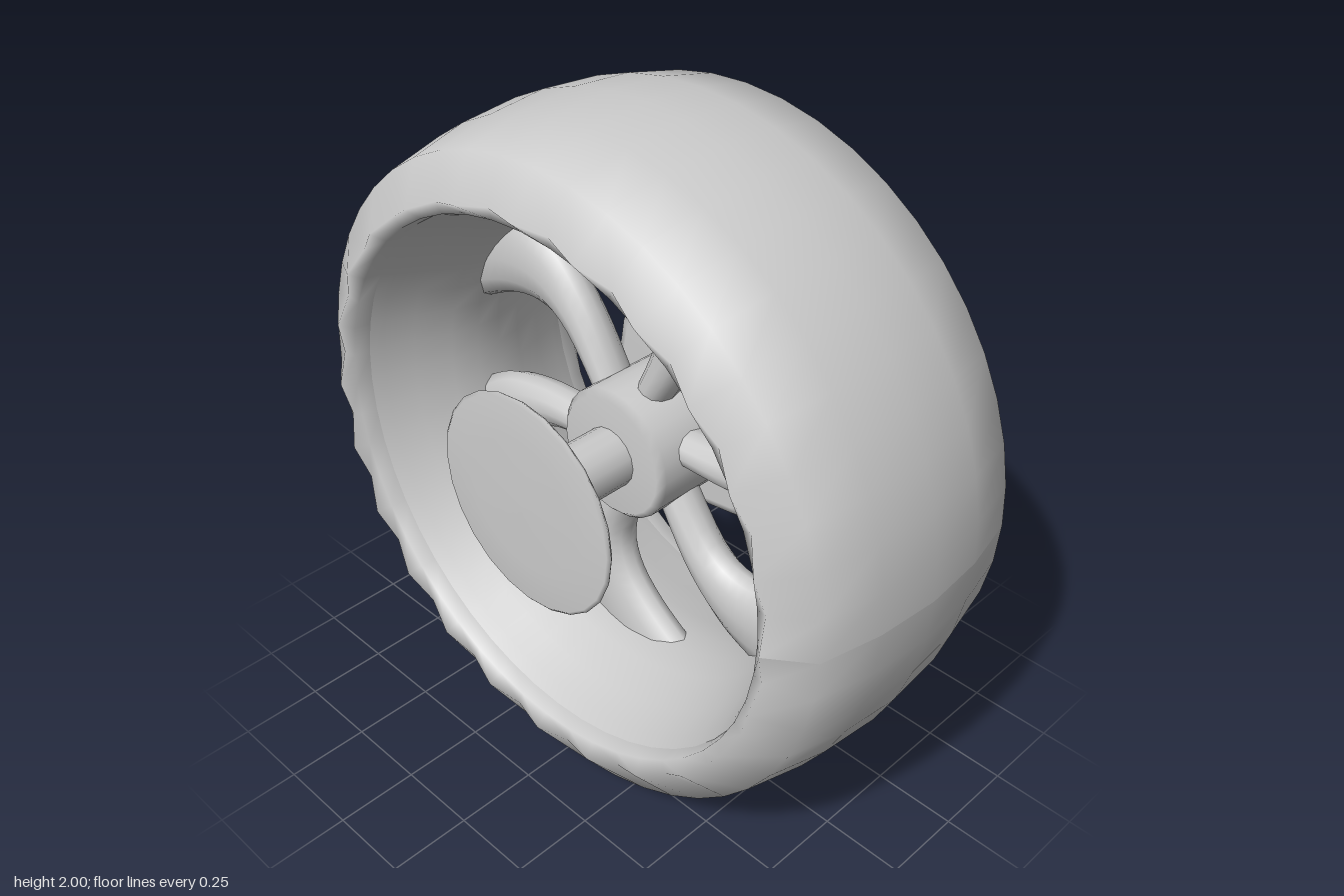
import * as THREE from 'three';

const material = new THREE.MeshStandardMaterial({ color: 0xcccccc });

// Lathe around the x axis; profile points are [x, radius]
function turned(name, profile, segments, adjust) {
  const geometry = new THREE.LatheGeometry(profile.map(([x, r]) => new THREE.Vector2(r, x)), segments);
  if (adjust) adjust(geometry.attributes.position, profile.length, segments);
  geometry.rotateZ(-Math.PI / 2);
  if (adjust) geometry.computeVertexNormals();
  const mesh = new THREE.Mesh(geometry, material);
  mesh.name = name;
  return mesh;
}

// Pull in every second shoulder point to scallop the sidewalls
function scallop(position, rows, segments) {
  for (let i = 1; i <= segments; i += 2) {
    for (const j of [2, rows - 3]) {
      const k = i * rows + j;
      position.setY(k, position.getY(k) * 0.945);
    }
  }
}

// Curved blade lofted between a convex and a concave edge, with an oval section
function spokeGeometry() {
  const curve = (pts) => new THREE.SplineCurve(pts.map(([u, v]) => new THREE.Vector2(u, v)));
  const convex = curve([[-0.08, 0.14], [-0.19, 0.33], [-0.25, 0.5], [-0.255, 0.63], [-0.24, 0.72]]);
  const concave = curve([[0.02, 0.16], [-0.06, 0.36], [-0.04, 0.49], [0.06, 0.6], [0.23, 0.71]]);
  const stations = 16, sides = 12;
  const positions = [], indices = [];
  for (let i = 0; i <= stations; i++) {
    const t = i / stations;
    const a = convex.getPoint(t), b = concave.getPoint(t);
    const mid = a.clone().add(b).multiplyScalar(0.5);
    const half = b.clone().sub(a).multiplyScalar(0.5);
    for (let j = 0; j < sides; j++) {
      const angle = (j / sides) * Math.PI * 2;
      const c = Math.cos(angle);
      positions.push(0.065 * Math.sin(angle), mid.y + half.y * c, -(mid.x + half.x * c));
      if (i < stations) {
        const p = i * sides + j, q = i * sides + (j + 1) % sides;
        indices.push(p, p + sides, q, q, p + sides, q + sides);
      }
    }
  }
  const geometry = new THREE.BufferGeometry();
  geometry.setAttribute('position', new THREE.Float32BufferAttribute(positions, 3));
  geometry.setIndex(indices);
  geometry.computeVertexNormals();
  return geometry;
}

export function createModel() {
  const wheel = new THREE.Group();
  wheel.name = 'wheel';

  // Tyre with rounded tread and scalloped shoulders
  const half = [[0.36, 0.79], [0.42, 0.795], [0.455, 0.83], [0.37, 0.945], [0.19, 0.985]];
  const tyreProfile = [...half.map(([x, r]) => [-x, r]), [0, 1], ...half.slice().reverse()];
  wheel.add(turned('tyre', tyreProfile, 48, scallop));

  // Dished rim barrel facing the axle
  wheel.add(turned('rim', [
    [0.37, 0.79], [0.33, 0.775], [0.24, 0.745], [0.13, 0.705], [0.04, 0.69],
    [-0.04, 0.69], [-0.13, 0.705], [-0.24, 0.745], [-0.33, 0.775], [-0.37, 0.79],
  ], 48));

  // Hub barrel and axle
  wheel.add(turned('hub', [[-0.14, 0], [-0.14, 0.18], [-0.12, 0.2], [0.1, 0.2], [0.28, 0.2]], 24));
  wheel.add(turned('axle', [[-0.45, 0.09], [-0.12, 0.09]], 16));

  // Domed outer cap
  wheel.add(turned('hubCap', [
    [0.25, 0], [0.25, 0.35], [0.27, 0.385], [0.32, 0.39], [0.35, 0.365], [0.375, 0.28], [0.39, 0.15], [0.395, 0],
  ], 20));

  // Thin inner disc
  wheel.add(turned('innerDisc', [
    [-0.467, 0], [-0.465, 0.2], [-0.46, 0.32], [-0.452, 0.33], [-0.44, 0.32], [-0.44, 0],
  ], 24));

  // Six swept spokes
  const blade = spokeGeometry();
  for (let i = 0; i < 6; i++) {
    const spoke = new THREE.Mesh(blade, material);
    spoke.name = 'spoke' + (i + 1);
    spoke.rotation.x = (i * Math.PI) / 3;
    wheel.add(spoke);
  }

  wheel.position.y = 1;
  const model = new THREE.Group();
  model.add(wheel);
  return model;
}
